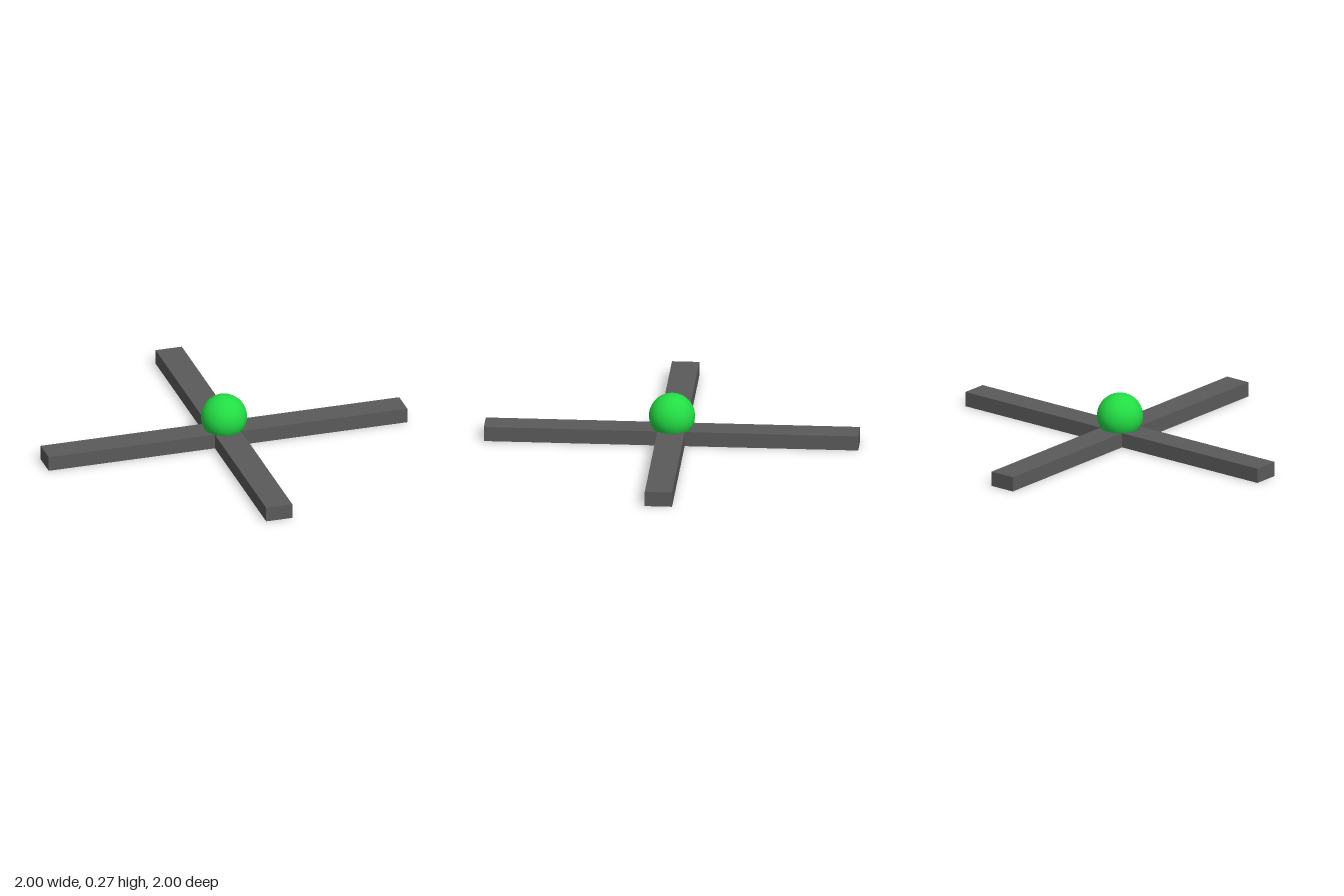
import * as THREE from 'three';

export function createModel() {
  const model = new THREE.Group();
  const grey = new THREE.MeshStandardMaterial({ color: 0x5a5a5a });
  grey.name = 'dark grey';
  const green = new THREE.MeshStandardMaterial({ color: 0x22dd44 });
  green.name = 'bright green';

  const half = 0.073, height = 0.08, radius = 0.123;

  // Crossed bars as one plus-shaped slab, so no faces overlap
  const outline = [];
  for (let i = 0; i < 4; i++) {
    const turn = i * Math.PI / 2;
    for (const [x, y] of [[half, -half], [1, -half], [1, half]]) {
      outline.push(new THREE.Vector2(x, y).rotateAround(new THREE.Vector2(), turn));
    }
  }
  const crossGeometry = new THREE.ExtrudeGeometry(new THREE.Shape(outline), {
    depth: height, bevelEnabled: false,
  });
  crossGeometry.rotateX(-Math.PI / 2);
  const cross = new THREE.Mesh(crossGeometry, grey);
  cross.name = 'crossBars';
  model.add(cross);

  // Ball sunk into the middle of the cross
  const ball = new THREE.Mesh(new THREE.SphereGeometry(radius, 32, 32), green);
  ball.name = 'centreBall';
  ball.position.y = 0.144;
  model.add(ball);

  return model;
}
